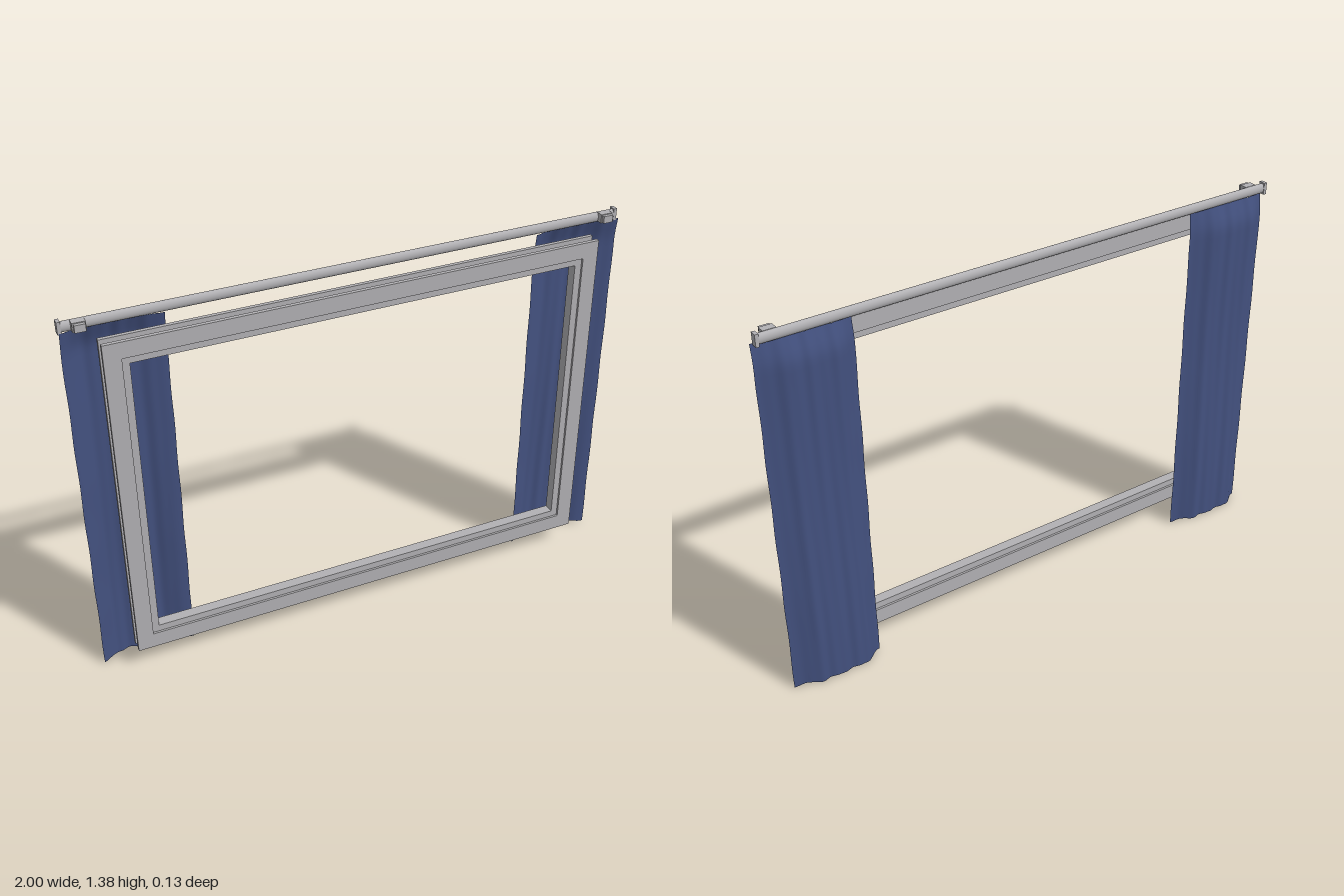
import * as THREE from 'three';

const metal = new THREE.MeshStandardMaterial({ color: 0xb2b1b4 });
metal.name = 'light grey';
const cloth = new THREE.MeshStandardMaterial({ color: 0x43517f, side: THREE.DoubleSide });
cloth.name = 'navy cloth';

// Box given by its min and max corners
function box(name, [x0, y0, z0], [x1, y1, z1]) {
  const mesh = new THREE.Mesh(new THREE.BoxGeometry(x1 - x0, y1 - y0, z1 - z0), metal);
  mesh.position.set((x0 + x1) / 2, (y0 + y1) / 2, (z0 + z1) / 2);
  mesh.name = name;
  return mesh;
}

function rectangle(target, [x0, y0, x1, y1]) {
  target.moveTo(x0, y0);
  target.lineTo(x1, y0);
  target.lineTo(x1, y1);
  target.lineTo(x0, y1);
  target.closePath();
  return target;
}

// Rectangular ring extruded from z0 to z1
function ring(name, outer, inner, z0, z1) {
  const shape = rectangle(new THREE.Shape(), outer);
  shape.holes.push(rectangle(new THREE.Path(), inner));
  const geometry = new THREE.ExtrudeGeometry(shape, { depth: z1 - z0, bevelEnabled: false });
  geometry.translate(0, 0, z0);
  const mesh = new THREE.Mesh(geometry, metal);
  mesh.name = name;
  return mesh;
}

// Hanging cloth: edges curl forward, the middle bulges back in soft folds
function curtain(name, x0, width) {
  const geometry = new THREE.PlaneGeometry(1, 1, 48, 60);
  const p = geometry.attributes.position;
  const smooth = THREE.MathUtils.smoothstep;
  for (let i = 0; i < p.count; i++) {
    const u = p.getX(i) + 0.5;
    const v = p.getY(i) + 0.5;
    const bulge = smooth(u, 0, 0.2) * (1 - 0.85 * smooth(u, 0.65, 1));
    const folds = (0.6 * Math.sin(u * 27 + v * 1.5) + 0.4 * Math.sin(u * 47 - v * 3)) * bulge;
    const lean = smooth(v, 0.93, 1.03);
    const sway = 0.004 * Math.sin(v * 7 + 0.5) * (1 - lean);
    const depth = 0.031 + 0.004 * (1 - v) - 0.017 * lean;
    const z = -0.021 + 0.012 * lean - bulge * depth - folds * 0.0035 - sway * bulge;
    const hem = (1 - v) ** 8 * 0.003 * Math.sin(u * 24);
    const edge = 0.002 * Math.sin(v * 30) * (u - 0.5);
    p.setXYZ(i, x0 + width * u + edge, 0.004 + 1.338 * v + hem, z);
  }
  geometry.computeVertexNormals();
  const mesh = new THREE.Mesh(geometry, cloth);
  mesh.name = name;
  return mesh;
}

export function createModel() {
  const model = new THREE.Group();
  model.name = 'curtainedWindow';

  // Window frame: a core ring between two wider flanges
  const frame = new THREE.Group();
  frame.name = 'windowFrame';
  const outer = [-0.893, 0.09, 0.866, 1.316];
  const step = [-0.835, 0.148, 0.808, 1.258];
  frame.add(
    ring('frontFlange', outer, step, 0.053, 0.067),
    ring('rearFlange', outer, step, 0.012, 0.026),
    ring('frameCore', [-0.838, 0.145, 0.811, 1.261], [-0.81, 0.173, 0.783, 1.233], 0.02, 0.059),
    box('topLatch', [0.47, 1.255, 0.026], [0.53, 1.268, 0.053])
  );
  model.add(frame);

  // Curtain rail with end caps and wall brackets
  const rail = new THREE.Group();
  rail.name = 'curtainRail';
  const rod = new THREE.Mesh(new THREE.CylinderGeometry(1, 1, 1.97, 32), metal);
  rod.name = 'rod';
  rod.geometry.rotateZ(Math.PI / 2);
  rod.scale.set(1, 0.018, 0.012);
  rod.position.set(-0.005, 1.358, -0.026);
  rail.add(rod);
  for (const [side, cap, bracket] of [['right', -0.996, -0.938], ['left', 0.98, 0.933]]) {
    rail.add(
      box(side + 'EndCap', [cap - 0.006, 1.337, -0.039], [cap + 0.006, 1.38, -0.014]),
      box(side + 'Bracket', [bracket - 0.022, 1.345, -0.024], [bracket + 0.022, 1.377, 0.004]),
      box(side + 'BracketPlate', [bracket - 0.018, 1.348, 0.004], [bracket + 0.018, 1.374, 0.016])
    );
  }
  model.add(rail);

  // Matching pair of curtains
  model.add(curtain('rightCurtain', -1, 0.335), curtain('leftCurtain', 0.662, 0.335));
  return model;
}
